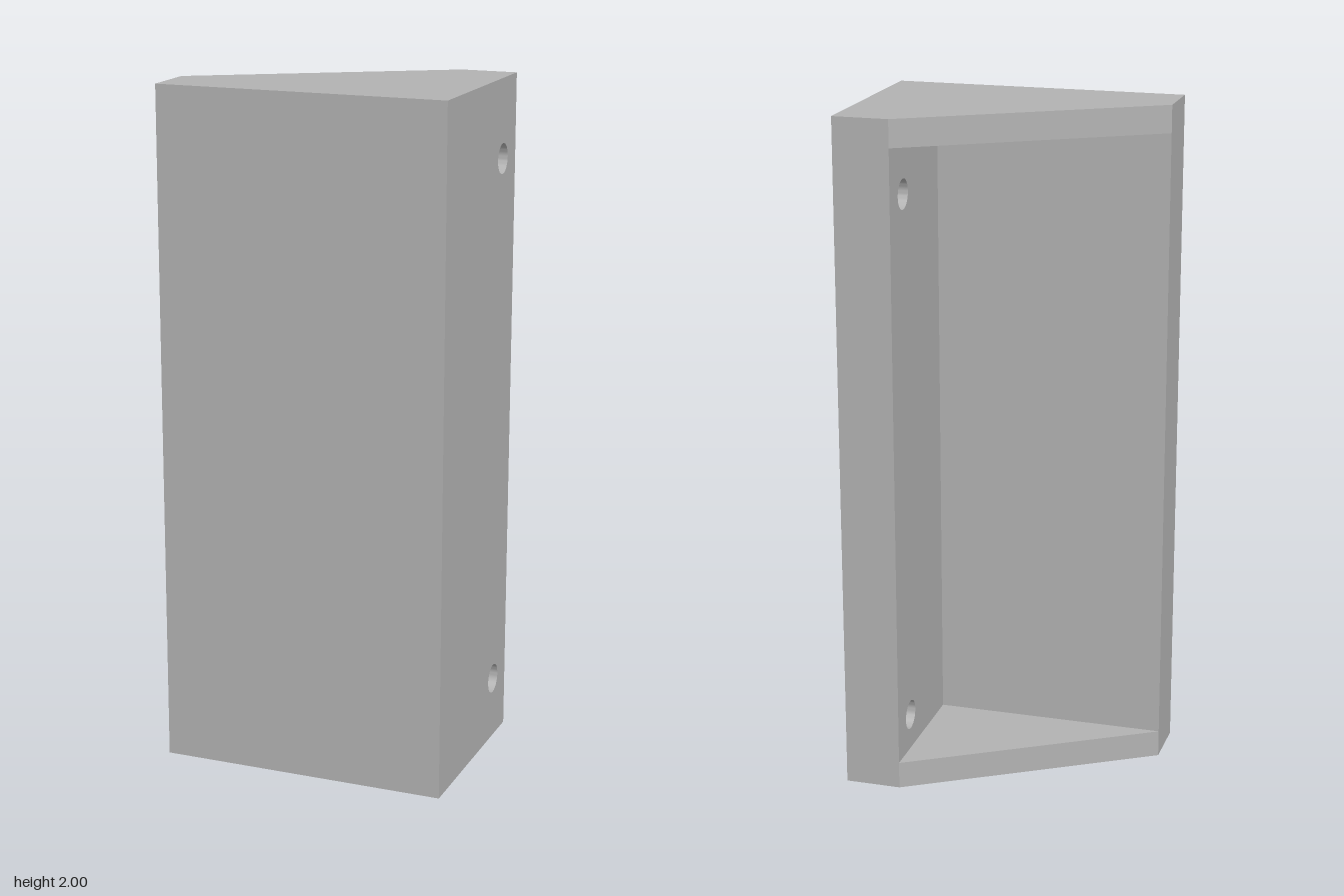
import * as THREE from 'three';
import { toCreasedNormals } from 'three/addons/utils/BufferGeometryUtils.js';

const W = 0.427, D = 0.296, H = 2;  // half width, half depth, height
const INNER_X = 0.263;              // inner face of the drilled side wall
const INNER_Z = 0.13;               // inner face of the front wall
const CAP = 0.08;                   // thickness of the end plates

export function createModel() {
  const model = new THREE.Group();
  model.name = 'cornerHousing';
  const grey = new THREE.MeshStandardMaterial({ color: 0xb2b2b2 });
  grey.name = 'grey';

  const add = (name, geometry, x, y, z) => {
    const mesh = new THREE.Mesh(geometry, grey);
    mesh.name = name;
    mesh.position.set(x, y, z);
    model.add(mesh);
  };

  // Front wall
  add('frontWall', new THREE.BoxGeometry(W + INNER_X, H, D - INNER_Z),
    (INNER_X - W) / 2, H / 2, (D + INNER_Z) / 2);

  // Side wall with two screw holes, drawn in (-z, y) and extruded along x
  const side = new THREE.Shape([[-D, 0], [D, 0], [D, H], [-D, H]].map(p => new THREE.Vector2(...p)));
  for (const y of [0.187, 1.77]) {
    side.holes.push(new THREE.Path().absarc(0.183, y, 0.044, 0, Math.PI * 2, true));
  }
  const sideGeometry = new THREE.ExtrudeGeometry(side,
    { depth: W - INNER_X, bevelEnabled: false, curveSegments: 20 }).rotateY(Math.PI / 2);
  add('sideWall', toCreasedNormals(sideGeometry, 0.6), INNER_X, 0, 0);

  // Triangular end plates closing the hollow, drawn in (x, -z)
  const cap = new THREE.Shape([[-W, -INNER_Z], [INNER_X, -INNER_Z], [INNER_X, D]]
    .map(p => new THREE.Vector2(...p)));
  const capGeometry = new THREE.ExtrudeGeometry(cap, { depth: CAP, bevelEnabled: false })
    .rotateX(-Math.PI / 2);
  add('bottomPlate', capGeometry, 0, 0, 0);
  add('topPlate', capGeometry, 0, H - CAP, 0);

  return model;
}
